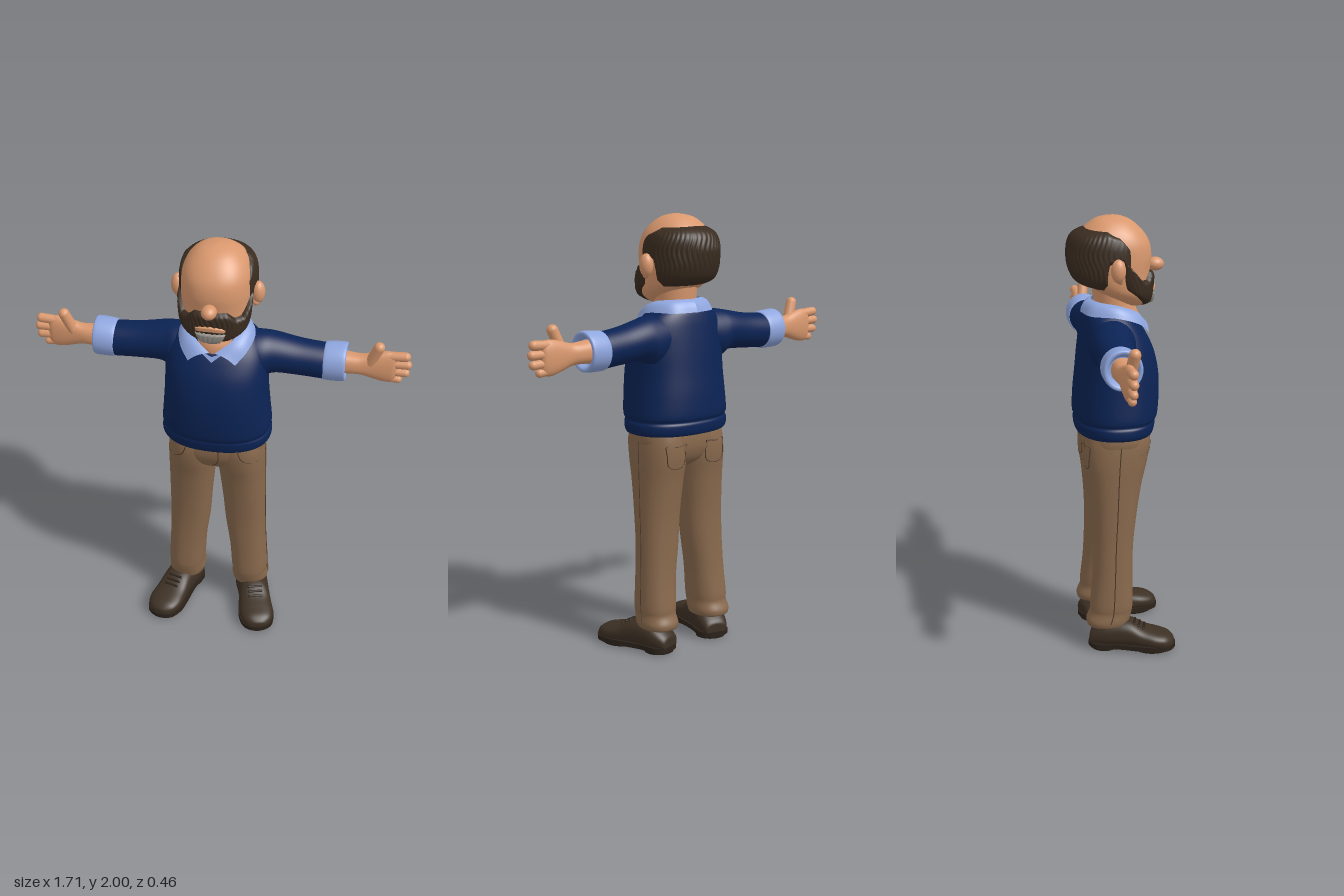
import * as THREE from 'three';

const mat = (name, color, side = THREE.FrontSide) => {
  const m = new THREE.MeshStandardMaterial({ color, side });
  m.name = name;
  return m;
};

// Catmull-Rom smoothing of rows of numbers
function smooth(rows, steps = 5) {
  const out = [], at = i => rows[Math.max(0, Math.min(rows.length - 1, i))];
  for (let i = 0; i < rows.length - 1; i++)
    for (let k = 0; k < steps; k++) {
      const t = k / steps;
      out.push(rows[i].map((b, j) => {
        const a = at(i - 1)[j], c = at(i + 1)[j], d = at(i + 2)[j];
        return b + 0.5 * t * (c - a + t * (2 * a - 5 * b + 4 * c - d + t * (3 * (b - c) + d - a)));
      }));
    }
  out.push(rows[rows.length - 1]);
  return out;
}

// Linear lookup in ascending rows keyed by their first number
function lookup(rows, x) {
  if (x <= rows[0][0]) return rows[0];
  for (let i = 1; i < rows.length; i++)
    if (x <= rows[i][0]) {
      const a = rows[i - 1], b = rows[i], t = (x - a[0]) / (b[0] - a[0] || 1);
      return a.map((v, j) => v + (b[j] - v) * t);
    }
  return rows[rows.length - 1];
}

const power = (v, n) => Math.sign(v) * Math.abs(v) ** (2 / n);

// Indexed geometry whose faces are turned away from its middle
function build(pos, idx) {
  const g = new THREE.BufferGeometry();
  g.setAttribute('position', new THREE.Float32BufferAttribute(pos, 3));
  g.computeBoundingBox();
  const mid = g.boundingBox.getCenter(new THREE.Vector3());
  const p = i => new THREE.Vector3().fromArray(pos, i * 3).sub(mid);
  let volume = 0;
  for (let i = 0; i < idx.length; i += 3) volume += p(idx[i]).dot(p(idx[i + 1]).cross(p(idx[i + 2])));
  g.setIndex(volume < 0 ? idx.reverse() : idx);
  g.computeVertexNormals();
  return g;
}

// Closed loft; rows are [station, centreU, radiusU, centreV, radiusV]
function loft(rows, axis = 'y', n = 2, seg = 40) {
  const fine = smooth(rows), pos = [], idx = [];
  const put = (s, u, v) => pos.push(...(axis === 'y' ? [u, s, v] : axis === 'x' ? [s, u, v] : [u, v, s]));
  for (const [s, cu, ru, cv, rv] of fine)
    for (let k = 0; k < seg; k++) {
      const t = k / seg * Math.PI * 2;
      put(s, cu + ru * power(Math.cos(t), n), cv + rv * power(Math.sin(t), n));
    }
  const last = (fine.length - 1) * seg, end = fine.length * seg;
  for (const r of [fine[0], fine[fine.length - 1]]) put(r[0], r[1], r[3]);
  for (let k = 0; k < seg; k++) {
    const m = (k + 1) % seg;
    for (let o = 0; o < last; o += seg) idx.push(o + k, o + seg + k, o + m, o + m, o + seg + k, o + seg + m);
    idx.push(end, k, m, end + 1, last + m, last + k);
  }
  return build(pos, idx);
}

// [y, centreX, radiusX, frontZ, backZ] to loft rows
const body = rows => rows.map(([y, cx, a, f, b]) => [y, cx, a, (f + b) / 2, (f - b) / 2]);

function grid(nu, nv, point) {
  const pos = [], idx = [], w = nv + 1;
  for (let i = 0; i <= nu; i++) for (let j = 0; j <= nv; j++) pos.push(...point(i / nu, j / nv));
  for (let i = 0; i < nu; i++) for (let j = 0; j < nv; j++) {
    const o = i * w + j;
    idx.push(o, o + w, o + 1, o + 1, o + w, o + w + 1);
  }
  return build(pos, idx);
}

const V = p => new THREE.Vector3(...p);
const ball = (p, s) => new THREE.SphereGeometry(1, 24, 16).scale(...s).translate(...p);
const tube = (pts, r = 0.0025) => new THREE.TubeGeometry(new THREE.CatmullRomCurve3(pts.map(V)), 24, r, 5);
function capsule(a, b, r) {
  const d = V(b).sub(V(a)), q = new THREE.Quaternion().setFromUnitVectors(new THREE.Vector3(0, 1, 0), d.clone().normalize());
  return new THREE.CapsuleGeometry(r, d.length(), 6, 14).applyQuaternion(q).translate(...V(a).addScaledVector(d, 0.5).toArray());
}

function mirrored(g) {
  const m = g.clone().scale(-1, 1, 1);
  m.setIndex(Array.from(m.index.array).reverse());
  return m;
}

export function createModel() {
  const root = new THREE.Group();
  root.name = 'man';
  const skin = mat('skin', 0xd9986e), navy = mat('navy sweater', 0x0b2354), shirt = mat('blue shirt', 0x8fa6de, THREE.DoubleSide);
  const cloth = mat('brown trousers', 0x89694d), seam = mat('seam', 0x4f3b2a), hair = mat('dark hair', 0x3a2c20);
  const grey = mat('grey beard', 0x938e88), leather = mat('shoe leather', 0x3d3024), rubber = mat('shoe sole', 0x2b221a);
  const add = (name, g, m) => {
    const mesh = new THREE.Mesh(g, m);
    mesh.name = name;
    root.add(mesh);
  };
  const pair = (name, g, m) => { add('left ' + name, g, m); add('right ' + name, mirrored(g), m); };

  // Head and neck
  const headRows = body([[1.6, 0, 0.06, 0.115, 0.01], [1.625, 0, 0.105, 0.125, -0.03], [1.66, 0, 0.138, 0.13, -0.09],
    [1.7, 0, 0.15, 0.134, -0.15], [1.76, 0, 0.155, 0.14, -0.18], [1.82, 0, 0.155, 0.147, -0.19], [1.88, 0, 0.15, 0.138, -0.187],
    [1.93, 0, 0.13, 0.108, -0.168], [1.97, 0, 0.093, 0.065, -0.125], [1.99, 0, 0.055, 0.025, -0.085], [2, 0, 0.003, -0.02, -0.026]]);
  const headFine = smooth(headRows);
  add('head', loft(headRows, 'y', 2.2, 56), skin);
  add('neck', loft(body([[1.46, 0, 0.1, 0.085, -0.11], [1.54, 0, 0.1, 0.095, -0.11], [1.6, 0, 0.097, 0.075, -0.11], [1.7, 0, 0.1, 0.06, -0.12]])), skin);
  add('nose', ball([0, 1.775, 0.168], [0.034, 0.031, 0.04]), skin);
  pair('ear', ball([0.176, 1.78, -0.028], [0.03, 0.052, 0.033]), skin);
  pair('ear lobe', ball([0.168, 1.738, -0.018], [0.017, 0.018, 0.017]), skin);

  // Raised patch on the head; angles in degrees from centre, limits looked up by |angle|
  const patch = (front, span, lo, hi, thick, ripple = 0) => grid(front && span < 40 ? 40 : 180, 24, (u, v) => {
    const d = (u * 2 - 1) * span, ad = Math.abs(d), t = d * Math.PI / 180, s = front ? 1 : -1;
    const y0 = lookup(lo, ad)[1], y = y0 + (lookup(hi, ad)[1] - y0) * v;
    const [, , a, cz, b] = lookup(headFine, y);
    const edge = Math.max(Math.abs(u * 2 - 1), Math.abs(v * 2 - 1));
    const off = thick(t) * (1 - edge ** 8) - 0.003 + ripple * Math.sin(d * 0.9 + 3 * Math.sin(y * 40)) * (1 - edge);
    return [(a + off) * power(Math.sin(t), 2.2), y, cz + s * (b + off) * power(Math.cos(t), 2.2)];
  });
  add('hair', patch(false, 108, [[0, 1.685], [55, 1.685], [70, 1.71], [78, 1.8], [95, 1.82], [101, 1.78], [108, 1.73]],
    [[0, 1.95], [75, 1.945], [95, 1.915], [108, 1.86]], t => 0.022 + 0.022 * Math.cos(t) ** 2, 0.004), hair);
  add('beard', patch(true, 84, [[0, 1.595], [40, 1.597], [60, 1.625], [84, 1.69]],
    [[0, 1.75], [8, 1.758], [24, 1.758], [38, 1.725], [52, 1.725], [70, 1.78], [84, 1.82]], () => 0.026, 0.003), hair);
  add('mouth', patch(true, 25, [[0, 1.667], [18, 1.664], [25, 1.672]], [[0, 1.698], [14, 1.692], [25, 1.676]], () => 0.034), skin);
  add('goatee', patch(true, 27, [[0, 1.595], [20, 1.602], [27, 1.625]], [[0, 1.662], [18, 1.662], [27, 1.66]], () => 0.036, 0.003), grey);

  // Sweater
  add('sweater body', loft(body([[1.03, 0, 0.22, 0.13, -0.175], [1.022, 0, 0.238, 0.148, -0.193], [1.04, 0, 0.25, 0.156, -0.202],
    [1.07, 0, 0.25, 0.162, -0.205], [1.085, 0, 0.243, 0.162, -0.2], [1.11, 0, 0.249, 0.173, -0.209], [1.2, 0, 0.241, 0.18, -0.206],
    [1.3, 0, 0.233, 0.177, -0.196], [1.4, 0, 0.23, 0.155, -0.186], [1.48, 0, 0.22, 0.117, -0.176], [1.54, 0, 0.19, 0.078, -0.166],
    [1.58, 0, 0.145, 0.05, -0.152], [1.6, 0, 0.1, 0.03, -0.12]]), 'y', 2.3, 56), navy);
  pair('sleeve', loft([[0.1, 1.46, 0.1, -0.05, 0.1], [0.19, 1.447, 0.114, -0.055, 0.105], [0.25, 1.459, 0.093, -0.065, 0.093],
    [0.36, 1.446, 0.083, -0.07, 0.084], [0.47, 1.436, 0.081, -0.073, 0.081], [0.49, 1.436, 0.079, -0.073, 0.079]], 'x'), navy);

  // Shirt collar, neck insert and rolled cuffs
  const upper = new THREE.CatmullRomCurve3([[0, 1.625, -0.125], [0.085, 1.625, -0.095], [0.118, 1.615, -0.02], [0.085, 1.58, 0.065], [0.012, 1.53, 0.108]].map(V));
  const lower = new THREE.CatmullRomCurve3([[0, 1.57, -0.172], [0.115, 1.57, -0.14], [0.168, 1.568, -0.03], [0.15, 1.535, 0.07], [0.105, 1.488, 0.122]].map(V));
  pair('collar', grid(32, 6, (u, v) => {
    const p = upper.getPoint(u).lerp(lower.getPoint(u), v), puff = 0.012 * Math.sin(v * Math.PI);
    return [p.x * (1 + puff * 3), p.y + puff, p.z + puff * (u - 0.5)];
  }), shirt);
  const vee = new THREE.ShapeGeometry(new THREE.Shape([[-0.06, 1.54], [0, 1.49], [0.06, 1.54], [0, 1.515]].map(p => new THREE.Vector2(...p))));
  const vp = vee.attributes.position;
  for (let i = 0; i < vp.count; i++) vp.setZ(i, 0.106 + (1.54 - vp.getY(i)) * 0.35);
  vee.computeVertexNormals();
  add('neck insert', vee, shirt);
  pair('cuff', loft([[0.48, 1.436, 0.07, -0.075, 0.07], [0.47, 1.436, 0.082, -0.075, 0.08], [0.485, 1.437, 0.088, -0.075, 0.085],
    [0.55, 1.44, 0.09, -0.075, 0.086], [0.568, 1.44, 0.085, -0.075, 0.081], [0.565, 1.44, 0.07, -0.075, 0.066], [0.54, 1.44, 0.055, -0.075, 0.055]], 'x'), shirt);

  // Forearms and hands
  pair('forearm and palm', loft([[0.53, 1.44, 0.052, -0.074, 0.05], [0.6, 1.438, 0.047, -0.075, 0.044], [0.64, 1.437, 0.05, -0.075, 0.037],
    [0.69, 1.436, 0.066, -0.078, 0.034], [0.74, 1.435, 0.077, -0.08, 0.031], [0.775, 1.435, 0.074, -0.08, 0.025], [0.79, 1.435, 0.06, -0.08, 0.012]], 'x', 2.3), skin);
  [[1.494, 0.825], [1.453, 0.834], [1.411, 0.828], [1.375, 0.797]].forEach(([y, x], i) =>
    pair('finger ' + (i + 1), capsule([0.74, 1.435 + (y - 1.435) * 0.9, -0.08], [x, y, -0.08], 0.0215 - i * 0.001), skin));
  pair('thumb', capsule([0.672, 1.455, -0.066], [0.708, 1.545, -0.053], 0.025), skin);

  // Trousers
  const hips = body([[0.85, 0, 0.03, 0.02, -0.08], [0.89, 0, 0.11, 0.085, -0.14], [0.94, 0, 0.2, 0.115, -0.165], [0.99, 0, 0.222, 0.125, -0.17], [1.05, 0, 0.215, 0.122, -0.165]]);
  const leg = body([[0.13, 0.157, 0.065, 0.005, -0.15], [0.115, 0.158, 0.08, 0.018, -0.17], [0.14, 0.158, 0.088, 0.026, -0.176], [0.18, 0.157, 0.084, 0.036, -0.16], [0.22, 0.156, 0.087, 0.04, -0.158],
    [0.35, 0.148, 0.088, 0.04, -0.145], [0.5, 0.135, 0.095, 0.045, -0.14], [0.65, 0.128, 0.1, 0.062, -0.142], [0.8, 0.12, 0.107, 0.087, -0.155],
    [0.9, 0.114, 0.112, 0.112, -0.17], [0.98, 0.113, 0.108, 0.125, -0.17], [1.04, 0.11, 0.1, 0.122, -0.16]]);
  add('trouser hips', loft(hips, 'y', 2.8, 48), cloth);
  pair('trouser leg', loft(leg, 'y', 2.3), cloth);

  // Seams laid on the trouser surface
  const surface = (x, y, s) => {
    const zs = [[hips, 2.8], [leg.slice(1), 2.3]].map(([rows, n]) => {
      const [, cx, a, cz, b] = lookup(smooth(rows), y), k = 1 - Math.abs((x - cx) / a) ** n;
      return k > 0 ? s * cz + b * k ** (1 / n) : -1;
    });
    return [x, y, s * Math.max(...zs)];
  };
  const stitch = (pts, s) => tube(pts.map(([x, y]) => surface(x, y, s)));
  pair('front pocket', stitch([[0.12, 1.015], [0.135, 0.975], [0.165, 0.95], [0.205, 0.94]], 1), seam);
  pair('back pocket', stitch([[0.06, 0.98], [0.062, 0.93], [0.068, 0.885], [0.115, 0.87], [0.16, 0.885], [0.166, 0.93], [0.168, 0.98], [0.115, 0.972], [0.06, 0.98]], -1), seam);
  add('fly', stitch([[0.03, 1.015], [0.03, 0.96], [0.02, 0.925], [0, 0.905]], 1), seam);
  pair('side seam', tube(leg.slice(2).map(([y, cx, a, cz]) => [cx + a, y, cz])), seam);

  // Shoes, toes turned out
  const place = g => g.rotateY(0.28).translate(0.187, 0, 0);
  const shoe = [[-0.162, 0.03, 0.06], [-0.155, 0.056, 0.085], [-0.1, 0.073, 0.125], [-0.03, 0.074, 0.142], [0.03, 0.074, 0.138],
    [0.09, 0.078, 0.108], [0.15, 0.081, 0.092], [0.195, 0.068, 0.08], [0.222, 0.04, 0.062], [0.229, 0.015, 0.05]];
  pair('shoe upper', place(loft(shoe.map(([z, w, top]) => [z, 0, w, (top + 0.012) / 2, (top - 0.012) / 2]), 'z', 2.4)), leather);
  const outline = new THREE.Shape();
  const side = [[0.04, -0.163], [0.074, -0.125], [0.07, -0.03], [0.082, 0.08], [0.084, 0.15], [0.06, 0.212], [0, 0.236]];
  outline.moveTo(0, -0.168);
  outline.splineThru([...side, ...side.slice(0, -1).reverse().map(([x, z]) => [-x, z]), [0, -0.168]].map(p => new THREE.Vector2(...p)));
  const slab = (shape, y0, h) => {
    const g = new THREE.ExtrudeGeometry(shape, { depth: h, bevelEnabled: false, curveSegments: 40 }).rotateX(Math.PI / 2).translate(0, y0 + h, 0);
    g.setIndex([...Array(g.attributes.position.count).keys()]);
    return place(g);
  };
  pair('sole', slab(outline, 0.012, 0.022), rubber);
  pair('heel', place(new THREE.CylinderGeometry(0.072, 0.07, 0.025, 28).scale(1, 1, 0.95).translate(0, 0.0125, -0.095)), rubber);
  pair('sole front', place(new THREE.CylinderGeometry(0.078, 0.074, 0.02, 28).scale(1, 1, 1.2).translate(0, 0.01, 0.125)), rubber);
  for (let i = 0; i < 3; i++) {
    const z = 0.045 + i * 0.022, y = 0.133 - i * 0.011;
    pair('lace ' + (i + 1), place(capsule([-0.03, y - 0.004, z], [0.03, y - 0.004, z], 0.006)), rubber);
  }
  return root;
}
